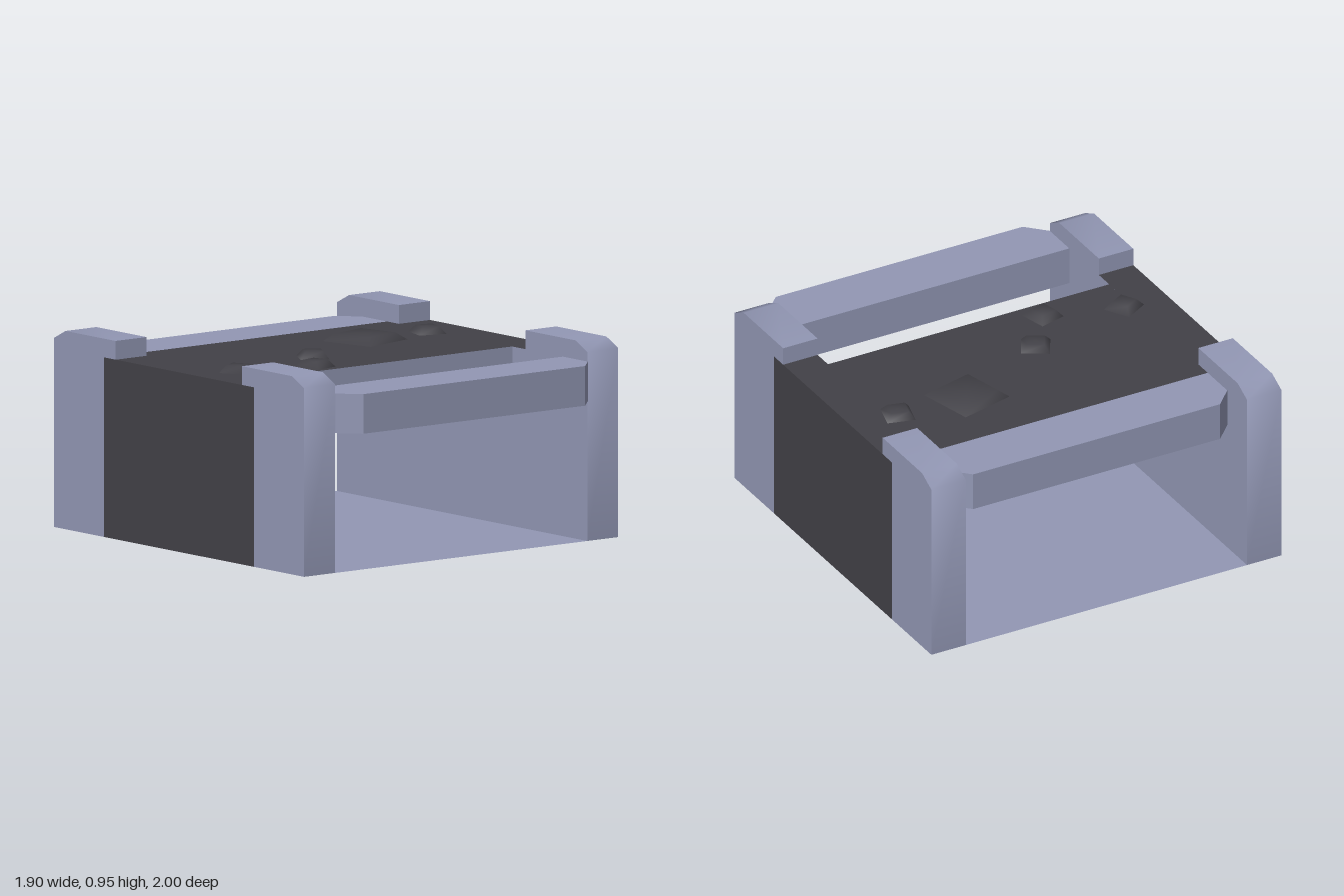
import * as THREE from 'three';
import { toCreasedNormals } from 'three/addons/utils/BufferGeometryUtils.js';

export function createModel() {
  const blue = new THREE.MeshStandardMaterial({ color: 0x9297b4, side: THREE.DoubleSide });
  blue.name = 'blueGrey';
  const dark = new THREE.MeshStandardMaterial({ color: 0x424147, side: THREE.DoubleSide });
  dark.name = 'charcoal';

  const model = new THREE.Group();
  model.name = 'workTable';
  const add = (parent, name, geometry, material) => {
    const mesh = new THREE.Mesh(geometry, material);
    mesh.name = name;
    parent.add(mesh);
    return mesh;
  };

  const IN = 0.763, OUT = 0.95, TOP = 0.86, LOW = 0.67;

  // Ribbon of quads across x0..x1 following [z, y] points
  const ribbon = (points, x0, x1) => {
    const pos = [];
    for (let i = 0; i < points.length - 1; i++) {
      const [z0, y0] = points[i], [z1, y1] = points[i + 1];
      pos.push(x0, y0, z0, x1, y0, z0, x1, y1, z1, x0, y0, z0, x1, y1, z1, x0, y1, z1);
    }
    const g = new THREE.BufferGeometry();
    g.setAttribute('position', new THREE.Float32BufferAttribute(pos, 3));
    return toCreasedNormals(g, 1.2);
  };

  // Flat panel of [z, y] points at a given x, facing along dir
  const panel = (points, x, dir) => {
    const shape = new THREE.Shape(points.map(([z, y]) => new THREE.Vector2(-dir * z, y)));
    return new THREE.ShapeGeometry(shape).rotateY(dir * Math.PI / 2).translate(x, 0, 0);
  };

  // Outline of the raised ends of each side wall
  const frontEdge = [[0.9, 0], [0.9, 0.905], [0.81, 0.95], [0.43, 0.95], [0.43, TOP]];
  const backEdge = [[-0.53, TOP], [-0.53, 0.95], [-0.91, 0.95], [-1, 0.905], [-1, 0]];

  // Hollow side walls, open underneath
  for (const s of [1, -1]) {
    const wall = new THREE.Group();
    wall.name = s > 0 ? 'leftWall' : 'rightWall';
    model.add(wall);
    const x0 = s > 0 ? IN : -OUT, x1 = s > 0 ? OUT : -IN;
    add(wall, 'frontPostEdge', ribbon(frontEdge, x0, x1), blue);
    add(wall, 'backPostEdge', ribbon(backEdge, x0, x1), blue);
    add(wall, 'wallTop', ribbon([[0.43, TOP], [-0.53, TOP]], x0, x1), dark);
    add(wall, 'innerPanel', panel([...frontEdge, ...backEdge], s * IN, -s), blue);
    add(wall, 'frontPostPanel', panel([...frontEdge, [0.52, TOP], [0.52, 0]], s * OUT, s), blue);
    add(wall, 'backPostPanel', panel([[-0.62, 0], [-0.62, TOP], ...backEdge], s * OUT, s), blue);
    add(wall, 'darkPanel', panel([[0.52, 0], [0.52, TOP], [-0.62, TOP], [-0.62, 0]], s * OUT, s), dark);
  }

  // Floor sheet
  add(model, 'floor', new THREE.PlaneGeometry(2 * IN, 1.9).rotateX(-Math.PI / 2), blue)
    .position.z = -0.05;

  // Raised deck with a dark top
  add(model, 'deck', new THREE.BoxGeometry(2 * IN, TOP - LOW, 0.95),
    [blue, blue, dark, blue, blue, blue]).position.set(0, (TOP + LOW) / 2, -0.145);

  // Cross bars with cut outer corners
  const bar = (name, inner, outer) => {
    const cut = outer - 0.096 * Math.sign(outer);
    const shape = new THREE.Shape([[-IN, inner], [IN, inner], [IN, cut], [0.67, outer],
      [-0.67, outer], [-IN, cut]].map(([x, z]) => new THREE.Vector2(x, -z)));
    const g = new THREE.ExtrudeGeometry(shape, { depth: TOP - LOW, bevelEnabled: false });
    add(model, name, g.rotateX(-Math.PI / 2), blue).position.y = LOW;
  };
  bar('frontBar', 0.715, 1);
  bar('backBar', -0.62, -0.905);

  // Low tapered lumps on the deck: x, z, size, top size, turn in degrees
  const lumps = [
    [0.335, -0.25, 0.285, 0.205, 14],
    [0.705, -0.242, 0.138, 0.085, -15],
    [-0.175, -0.005, 0.138, 0.085, -30],
    [-0.345, 0.225, 0.138, 0.085, 14],
    [-0.72, 0.11, 0.138, 0.085, 30],
  ];
  lumps.forEach(([x, z, size, top, turn], i) => {
    const g = new THREE.CylinderGeometry(top * Math.SQRT1_2, size * Math.SQRT1_2, 0.035, 4);
    g.rotateY(Math.PI / 4);
    const lump = add(model, 'lump' + (i + 1), toCreasedNormals(g, 1.2), dark);
    lump.position.set(x, TOP + 0.0175, z);
    lump.rotation.y = THREE.MathUtils.degToRad(turn);
  });

  return model;
}
